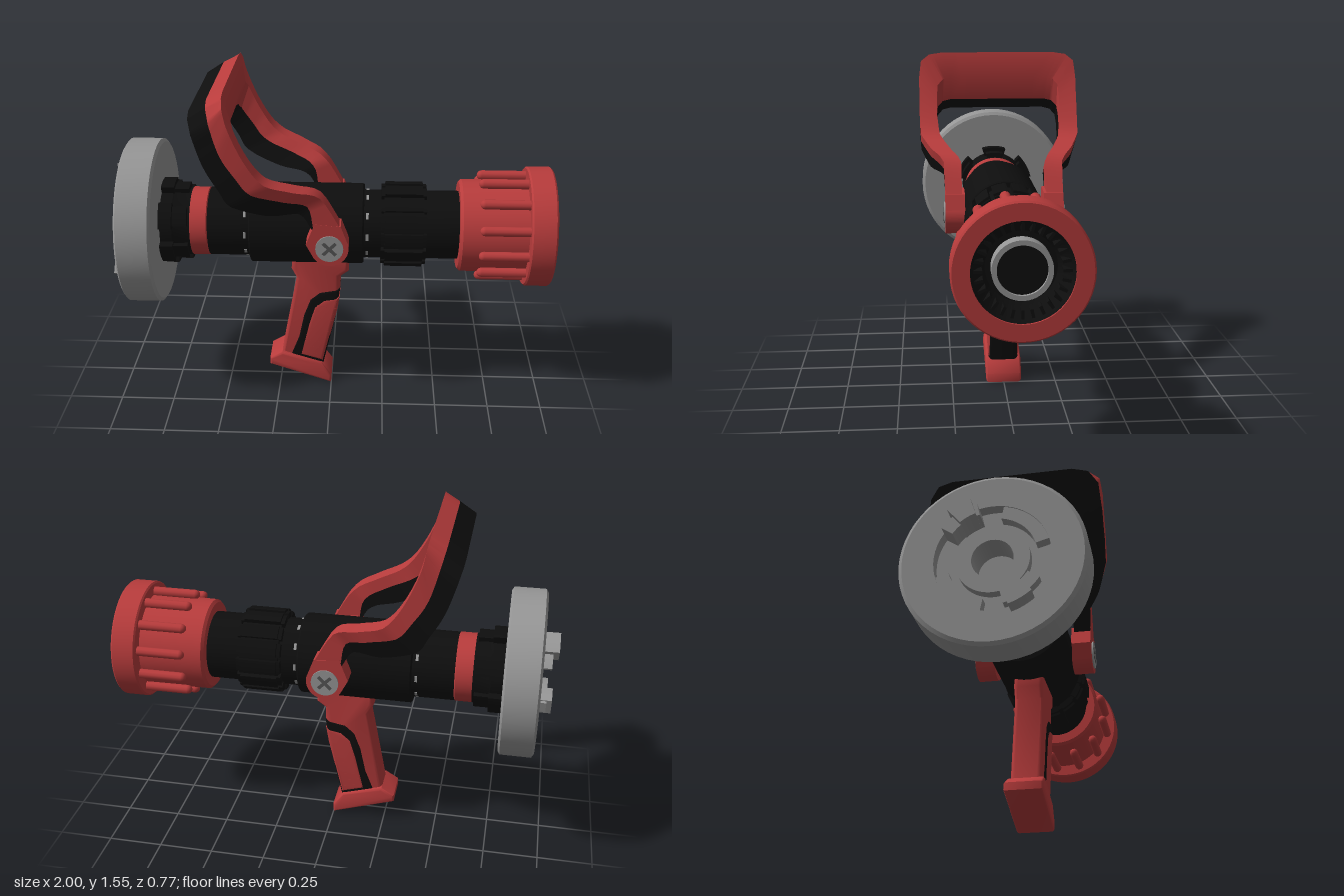
import * as THREE from 'three';
import { toCreasedNormals } from 'three/addons/utils/BufferGeometryUtils.js';

const AXIS = 0.833; // height of the barrel axis
const TAU = Math.PI * 2;

export function createModel() {
  const root = new THREE.Group();
  const red = new THREE.MeshStandardMaterial({ name: 'red', color: 0xb83c3c });
  const black = new THREE.MeshStandardMaterial({ name: 'black', color: 0x0e0e0e });
  const gray = new THREE.MeshStandardMaterial({ name: 'gray', color: 0x969696 });
  const darkGray = new THREE.MeshStandardMaterial({ name: 'darkGray', color: 0x555555 });

  function add(name, geometry, material, parent = root) {
    const mesh = new THREE.Mesh(geometry, material);
    mesh.name = name;
    parent.add(mesh);
    return mesh;
  }
  // Everything turned around the barrel axis lives in this group
  const barrel = new THREE.Group();
  barrel.name = 'barrel';
  barrel.position.y = AXIS;
  root.add(barrel);

  // Turned part from [x, radius] pairs
  function turned(name, material, pairs) {
    const g = new THREE.LatheGeometry(pairs.map(([x, r]) => new THREE.Vector2(r, x)), 56);
    g.rotateZ(-Math.PI / 2);
    return add(name, toCreasedNormals(g, 0.5), material, barrel);
  }
  // Ring segment around the barrel axis
  function arc(name, material, x0, x1, r0, r1, mid, span) {
    const s = new THREE.Shape();
    s.absarc(0, 0, r1, mid - span / 2, mid + span / 2, false);
    s.absarc(0, 0, r0, mid + span / 2, mid - span / 2, true);
    const g = new THREE.ExtrudeGeometry(s, { depth: x1 - x0, bevelEnabled: false, curveSegments: 10 });
    g.rotateY(Math.PI / 2).translate(x0, 0, 0);
    return add(name, g, material, barrel);
  }
  // Repeat a geometry around the barrel axis
  function around(name, material, geometry, count, offset = 0) {
    for (let i = 0; i < count; i++) {
      add(name, geometry, material, barrel).rotation.x = offset + (i / count) * TAU;
    }
  }

  // Hose coupling: disc with stepped recess and bore
  turned('couplingDisc', gray, [
    [-0.80, 0.085], [-0.925, 0.085], [-0.925, 0.15], [-0.885, 0.15], [-0.885, 0.235],
    [-0.935, 0.235], [-0.935, 0.365], [-0.925, 0.38], [-0.785, 0.38], [-0.775, 0.365],
    [-0.775, 0.0]]);
  turned('boreFloor', gray, [[-0.80, 0], [-0.80, 0.09]]).geometry.scale(1, 1, 1);
  for (const a of [1.06, 1.06 + Math.PI]) {
    arc('couplingLug', gray, -0.975, -0.88, 0.18, 0.235, a - 0.1, 0.75);
    arc('couplingHook', gray, -1.0, -0.88, 0.175, 0.26, a, 0.4);
    arc('couplingTrack', gray, -0.93, -0.88, 0.18, 0.236, a + 1.25, 1.1);
  }

  // Black collar with gripping tabs
  turned('collar', black, [[-0.78, 0.165], [-0.72, 0.165], [-0.715, 0.162], [-0.64, 0.158], [-0.64, 0]]);
  for (let i = 0; i < 6; i++) {
    arc('collarTab', black, -0.778, -0.715, 0.15, 0.2, i * TAU / 6 + Math.PI / 6, 0.62);
    arc('collarStep', black, -0.72, -0.65, 0.15, 0.182, i * TAU / 6 + Math.PI / 6, 0.5);
  }
  turned('redBand', red, [[-0.65, 0], [-0.65, 0.15], [-0.645, 0.158], [-0.565, 0.158], [-0.56, 0.15]]);

  // Main black barrel with thick valve body
  turned('barrelTube', black, [
    [-0.56, 0], [-0.56, 0.157], [-0.37, 0.157], [-0.37, 0.18], [-0.365, 0.186],
    [0.143, 0.186], [0.15, 0.18], [0.15, 0.157], [0.24, 0.157], [0.24, 0.175],
    [0.42, 0.175], [0.42, 0.157], [0.6, 0.157], [0.6, 0]]);
  const tick = new THREE.BoxGeometry(0.012, 0.006, 0.03);
  for (const x of [-0.39, 0.165]) {
    around('ringMark', gray, tick.clone().translate(x, 0.156, 0), 10, 0.3);
  }
  // Ridged selector ring
  for (let i = 0; i < 14; i++) {
    const a = (i / 14) * TAU;
    arc('selectorRidge', black, 0.245, 0.415, 0.16, 0.196, a, 0.34);
    arc('selectorRidgeEnd', black, 0.228, 0.432, 0.15, 0.185, a, 0.34);
  }

  // Red spray head with open mouth
  turned('sprayHead', red, [
    [0.58, 0.15], [0.58, 0.2], [0.592, 0.212], [0.885, 0.216], [0.885, 0.268], [0.892, 0.275],
    [0.992, 0.275], [1.0, 0.268], [1.0, 0.2], [0.985, 0.198]]);
  const rib = new THREE.CapsuleGeometry(0.022, 0.2, 3, 10).rotateZ(Math.PI / 2).translate(0.785, 0.232, 0);
  around('headRib', red, rib, 12, 0.2);
  turned('mouth', black, [[0.995, 0.2], [0.93, 0.165], [0.9, 0.14], [0.9, 0]]);
  around('mouthTooth', black, new THREE.BoxGeometry(0.07, 0.035, 0.012).translate(0.94, 0.17, 0), 28);
  turned('nozzleRing', gray, [[0.89, 0.118], [0.965, 0.118], [0.965, 0.098], [0.9, 0.098]]);
  turned('nozzlePlug', black, [[0.89, 0.099], [0.95, 0.099], [0.95, 0]]);

  // Bail handle: front, seam and back profiles from top to pivot
  const profile = (pts) => new THREE.CatmullRomCurve3(
    pts.map(([x, y]) => new THREE.Vector3(x, y, 0)), false, 'catmullrom', 0.5);
  const front = profile([[-0.44, 1.55], [-0.415, 1.43], [-0.35, 1.28], [-0.27, 1.175],
    [-0.15, 1.125], [-0.04, 1.075], [0.055, 0.92]]);
  const seam = profile([[-0.51, 1.515], [-0.455, 1.32], [-0.39, 1.21], [-0.325, 1.13],
    [-0.19, 1.08], [-0.095, 1.035], [-0.07, 0.925]]);
  const back = profile([[-0.587, 1.465], [-0.525, 1.27], [-0.46, 1.15], [-0.41, 1.075],
    [-0.26, 1.016], [-0.13, 1.0], [-0.075, 0.92]]);
  // Outer and inner edges of the loop: [u, z, u, z]
  const edges = [[0, 0, 1, 0], [0, 0.27, 1, 0.23], [0.08, 0.335, 1.06, 0.27], [0.35, 0.375, 1.25, 0.295],
    [1, 0.385, 1.6, 0.3], [2, 0.385, 2.2, 0.3], [3, 0.38, 3, 0.29], [4, 0.335, 4, 0.245],
    [5, 0.275, 5, 0.195], [6, 0.27, 6, 0.195]];
  const half = [];
  for (let i = 0; i < edges.length - 1; i++) {
    for (let k = 0; k < 4; k++) half.push(edges[i].map((v, j) => v + (edges[i + 1][j] - v) * k / 4));
  }
  half.push(edges[edges.length - 1]);
  const stations = [...half.slice(1).reverse().map(([a, z, b, w]) => [a, -z, b, -w]), ...half];
  function loopBand(name, material, near, far) {
    const pos = [], idx = [];
    const put = (curve, u, z) => {
      const p = curve.getPoint(Math.min(u / 6, 1));
      pos.push(p.x, p.y, z);
    };
    stations.forEach(([uo, zo, ui, zi], i) => {
      put(near, uo, zo); put(near, ui, zi); put(far, ui, zi); put(far, uo, zo);
      if (i === 0) return;
      for (let j = 0; j < 4; j++) {
        const a = (i - 1) * 4 + j, b = (i - 1) * 4 + (j + 1) % 4;
        idx.push(a, b + 4, b, a, a + 4, b + 4);
      }
    });
    const g = new THREE.BufferGeometry();
    g.setAttribute('position', new THREE.Float32BufferAttribute(pos, 3));
    g.setIndex(idx);
    add(name, toCreasedNormals(g, 0.6), material);
  }
  loopBand('handleFront', red, front, seam);
  loopBand('handleBack', black, seam, back);

  // Pivot plates and cross-head screws on both sides
  const plate = new THREE.Shape();
  plate.moveTo(-0.104, 0.85);
  plate.lineTo(-0.07, 0.75 + 0.035);
  plate.absarc(0, AXIS, 0.085, Math.PI * 1.2, TAU + 0.45, false);
  plate.lineTo(0.05, 0.94);
  plate.lineTo(-0.065, 0.95);
  for (const side of [1, -1]) {
    const g = new THREE.ExtrudeGeometry(plate, { depth: 0.09, bevelEnabled: false, curveSegments: 24 });
    add('pivotPlate', g.translate(0, 0, side > 0 ? 0.182 : -0.272), red);
    const screw = new THREE.Group();
    screw.name = 'pivotScrew';
    screw.position.set(0, AXIS, side * 0.272);
    root.add(screw);
    add('screwHead', new THREE.CylinderGeometry(0.062, 0.062, 0.012, 28).rotateX(Math.PI / 2), gray, screw);
    for (const a of [Math.PI / 4, -Math.PI / 4]) {
      add('screwSlot', new THREE.BoxGeometry(0.08, 0.015, 0.004).rotateZ(a).translate(0, 0, side * 0.006), darkGray, screw);
    }
  }

  // Pistol grip: bevelled slabs, each outline grown by the bevel
  function slab(name, material, pts, halfWidth, bevel) {
    const s = new THREE.Shape(pts.map(([x, y]) => new THREE.Vector2(x, y)));
    const g = new THREE.ExtrudeGeometry(s, {
      depth: 2 * (halfWidth - bevel), bevelThickness: bevel, bevelSize: bevel, bevelSegments: 4 });
    add(name, toCreasedNormals(g.translate(0, 0, bevel - halfWidth), 0.7), material);
  }
  slab('gripBody', red, [[-0.16, 0.68], [-0.165, 0.62], [-0.14, 0.57], [-0.225, 0.12], [-0.07, 0.08],
    [-0.06, 0.12], [0.005, 0.42], [0.02, 0.52], [0.02, 0.59], [0.06, 0.62], [0.06, 0.68]], 0.068, 0.022);
  slab('gripBand', black, [[0.023, 0.5], [-0.05, 0.485], [-0.09, 0.45], [-0.12, 0.37], [-0.145, 0.25],
    [-0.19, 0.135], [-0.058, 0.1], [-0.052, 0.13], [0.008, 0.4]], 0.071, 0.02);
  slab('gripInsert', red, [[0.02, 0.455], [-0.03, 0.445], [-0.07, 0.41], [-0.095, 0.33], [-0.135, 0.16],
    [-0.053, 0.135], [0.008, 0.4]], 0.073, 0.02);
  // Finger ribs on the insert
  for (let i = 0; i < 9; i++) {
    const t = i / 8;
    const r = new THREE.CapsuleGeometry(0.011, 0.09, 3, 8).rotateZ(Math.PI / 2 - 0.2);
    r.scale(1, 1, 6.7).translate(-0.095 + 0.073 * t, 0.165 + 0.255 * t, 0);
    add('gripRib', r, red);
  }
  // Flared foot of the grip
  slab('gripFoot', red, [[-0.284, 0.125], [-0.284, 0.108], [-0.012, 0.015], [-0.012, 0.038],
    [-0.055, 0.1], [-0.235, 0.155]], 0.085, 0.014);

  return root;
}
